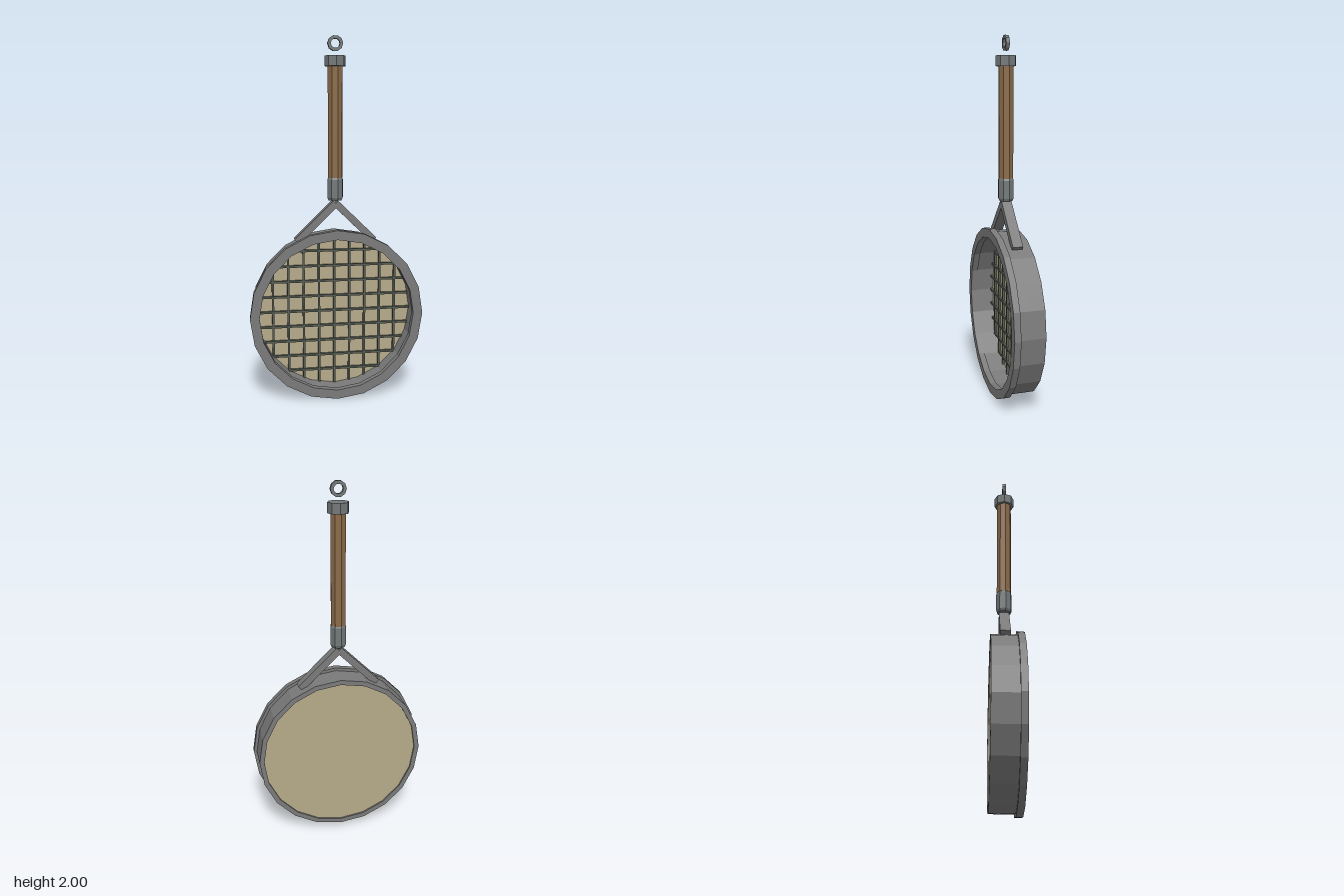
import * as THREE from 'three';

const mat = (name, color) => {
  const m = new THREE.MeshStandardMaterial({ color, flatShading: true });
  m.name = name;
  return m;
};

export function createModel() {
  const steel = mat('steel', 0x7a7a7a);
  const fitting = mat('fitting steel', 0x737878);
  const cream = mat('cream panel', 0xb5aa8a);
  const wood = mat('wood', 0x8a6a48);
  const wire = mat('dark wire', 0x555b52);

  const model = new THREE.Group();
  model.name = 'longHandledPan';
  const CY = 0.483, HZ = -0.01; // drum centre height, handle depth

  const add = (name, geometry, material, x = 0, y = 0, z = 0, parent = model) => {
    const mesh = new THREE.Mesh(geometry, material);
    mesh.name = name;
    mesh.position.set(x, y, z);
    parent.add(mesh);
    return mesh;
  };

  // Square-section ring facing z
  const ring = (outer, inner, z0, z1, sides, start = 0) => {
    const profile = [[outer, z0], [outer, z1], [inner, z1], [inner, z0], [outer, z0]]
      .map(([r, z]) => new THREE.Vector2(r, z));
    return new THREE.LatheGeometry(profile, sides, start).rotateX(Math.PI / 2);
  };

  // Drum wall, front flange and recessed panel
  add('drumWall', ring(0.465, 0.438, -0.088, 0.05, 20), steel, 0, CY);
  add('frontFlange', ring(0.482, 0.43, 0.05, 0.086, 20), steel, 0, CY);
  const disc = new THREE.CylinderGeometry(0.439, 0.439, 0.025, 20).rotateX(Math.PI / 2);
  add('panel', disc, cream, 0, CY, -0.066);

  // Wire grid, each bar cut to the drum's round outline
  const grid = new THREE.Group();
  grid.name = 'wireGrid';
  grid.position.set(0, CY, -0.047);
  model.add(grid);
  for (let i = -4; i <= 4; i++) {
    const p = i * 0.087;
    const length = 2 * Math.sqrt(0.434 ** 2 - p ** 2);
    add('verticalWire', new THREE.BoxGeometry(0.012, length, 0.014), wire, p, 0, 0, grid);
    add('horizontalWire', new THREE.BoxGeometry(length, 0.012, 0.014), wire, 0, p, 0.003, grid);
  }

  // Forked braces from the drum to the collar
  for (const side of [-1, 1]) {
    const dx = 0.215, y0 = 0.895, y1 = 1.105;
    const brace = add(side > 0 ? 'leftBrace' : 'rightBrace',
      new THREE.BoxGeometry(0.038, Math.hypot(dx, y1 - y0), 0.056), steel,
      side * dx / 2, (y0 + y1) / 2, HZ);
    brace.rotation.z = side * Math.atan2(dx, y1 - y0);
  }

  // Chamfered collar
  const collar = [[0, 1.12], [0.038, 1.12], [0.045, 1.135], [0.045, 1.235], [0.038, 1.25], [0, 1.25]]
    .map(([r, y]) => new THREE.Vector2(r, y));
  add('collar', new THREE.LatheGeometry(collar, 8, 0.2), fitting, 0, 0, HZ);

  // Grip, end cap and hanging ring
  add('grip', new THREE.CylinderGeometry(0.042, 0.042, 0.6, 8, 1, false, 0.2), wood, 0, 1.545, HZ);
  add('endCap', new THREE.CylinderGeometry(0.057, 0.057, 0.055, 8), fitting, 0, 1.868, HZ);
  add('hangingRing', ring(0.042, 0.025, -0.01, 0.01, 10, Math.PI / 2), fitting, 0, 1.96, HZ);

  return model;
}
